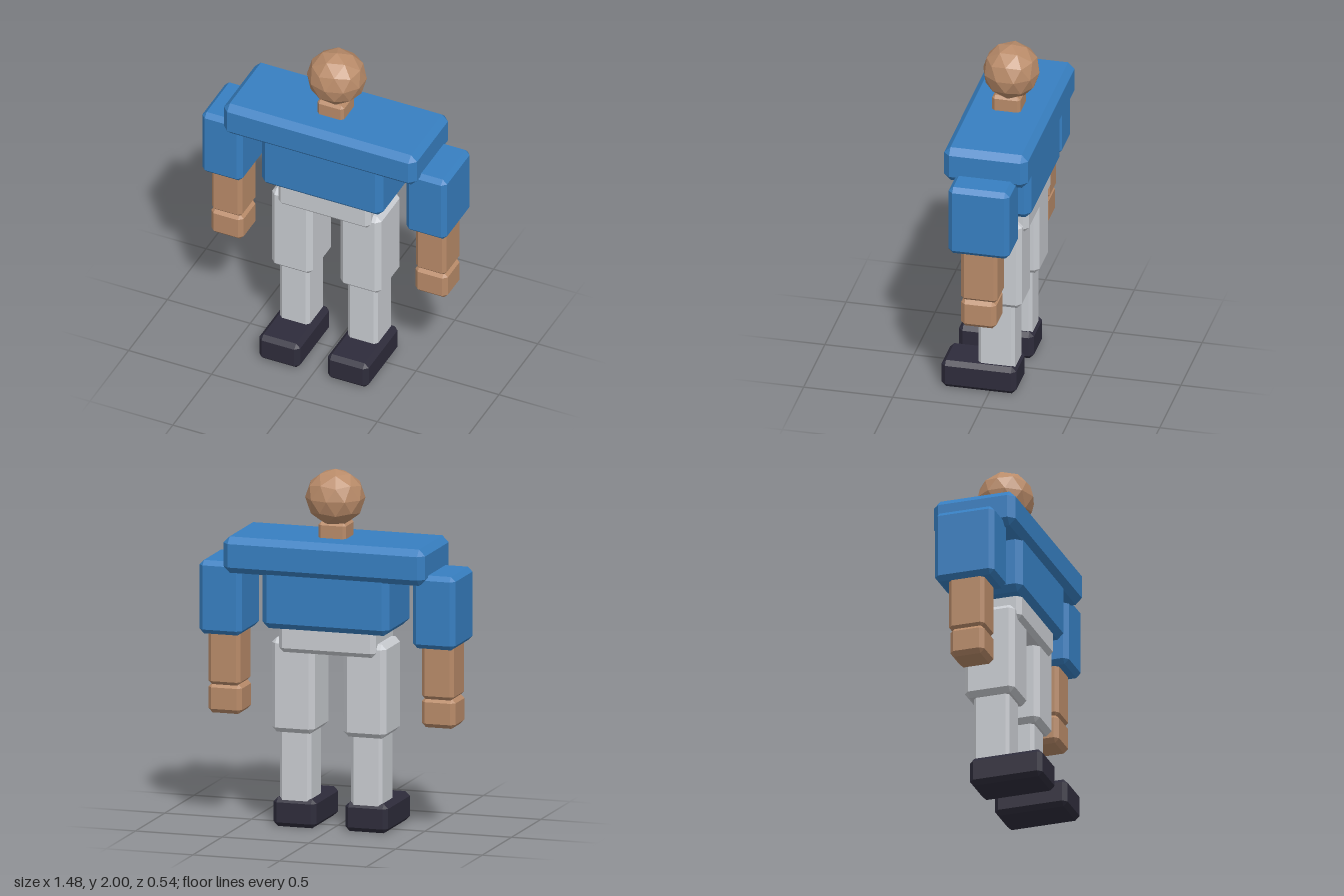
import * as THREE from 'three';
import { ConvexGeometry } from 'three/addons/geometries/ConvexGeometry.js';

function material(name, color) {
  const m = new THREE.MeshStandardMaterial({ color, flatShading: true });
  m.name = name;
  return m;
}

// Box between two corners with every edge cut at 45 degrees
function chamferedBox([x0, x1], [y0, y1], [z0, z1], c) {
  const half = [(x1 - x0) / 2, (y1 - y0) / 2, (z1 - z0) / 2];
  const points = [];
  for (const sx of [-1, 1]) for (const sy of [-1, 1]) for (const sz of [-1, 1]) {
    for (let axis = 0; axis < 3; axis++) {
      // each corner becomes three points, one on each adjoining face
      const p = half.map((h, i) => (i === axis ? h : h - c));
      points.push(new THREE.Vector3(p[0] * sx, p[1] * sy, p[2] * sz));
    }
  }
  return new ConvexGeometry(points).translate((x0 + x1) / 2, (y0 + y1) / 2, (z0 + z1) / 2);
}

export function createModel() {
  const shirt = material('blue shirt', 0x377fc1);
  const skin = material('skin', 0xb98b69);
  const trousers = material('grey trousers', 0xc9ccd1);
  const shoe = material('dark shoe', 0x2e2c3b);

  const model = new THREE.Group();
  model.name = 'blockFigure';

  function add(name, geometry, mat, parent = model) {
    const mesh = new THREE.Mesh(geometry, mat);
    mesh.name = name;
    parent.add(mesh);
  }

  // Head: faceted ball with one vertex pointing straight up
  const ball = new THREE.IcosahedronGeometry(1, 1);
  ball.rotateZ(Math.PI / 2 - Math.atan((1 + Math.sqrt(5)) / 2));
  ball.scale(0.166, 0.158, 0.158).translate(0, 1.842, -0.048);
  add('head', ball, skin);

  // Trunk
  add('neck', chamferedBox([-0.08, 0.08], [1.58, 1.71], [-0.115, 0.045], 0.016), skin);
  add('shoulders', chamferedBox([-0.582, 0.582], [1.42, 1.623], [-0.272, 0.2], 0.036), shirt);
  add('torso', chamferedBox([-0.366, 0.366], [1.12, 1.5], [-0.24, 0.168], 0.034), shirt);
  add('pelvis', chamferedBox([-0.28, 0.28], [0.987, 1.17], [-0.207, 0.135], 0.026), trousers);

  // Limbs: x range, y range, z range, chamfer on the left side, mirrored to the right
  const limbs = [
    ['UpperArm', [0.493, 0.738], [1.06, 1.47], [-0.208, 0.135], 0.026, shirt],
    ['Forearm', [0.523, 0.708], [0.765, 1.09], [-0.135, 0.07], 0.02, skin],
    ['Hand', [0.518, 0.713], [0.605, 0.773], [-0.128, 0.07], 0.024, skin],
    ['Thigh', [0.083, 0.33], [0.533, 1.06], [-0.18, 0.11], 0.028, trousers],
    ['Shin', [0.115, 0.295], [0.13, 0.57], [-0.135, 0.07], 0.018, trousers],
    ['Foot', [0.083, 0.33], [0, 0.162], [-0.148, 0.272], 0.025, shoe],
  ];
  for (const [name, x, y, z, c, mat] of limbs) {
    add('left' + name, chamferedBox(x, y, z, c), mat);
    add('right' + name, chamferedBox([-x[1], -x[0]], y, z, c), mat);
  }
  return model;
}
